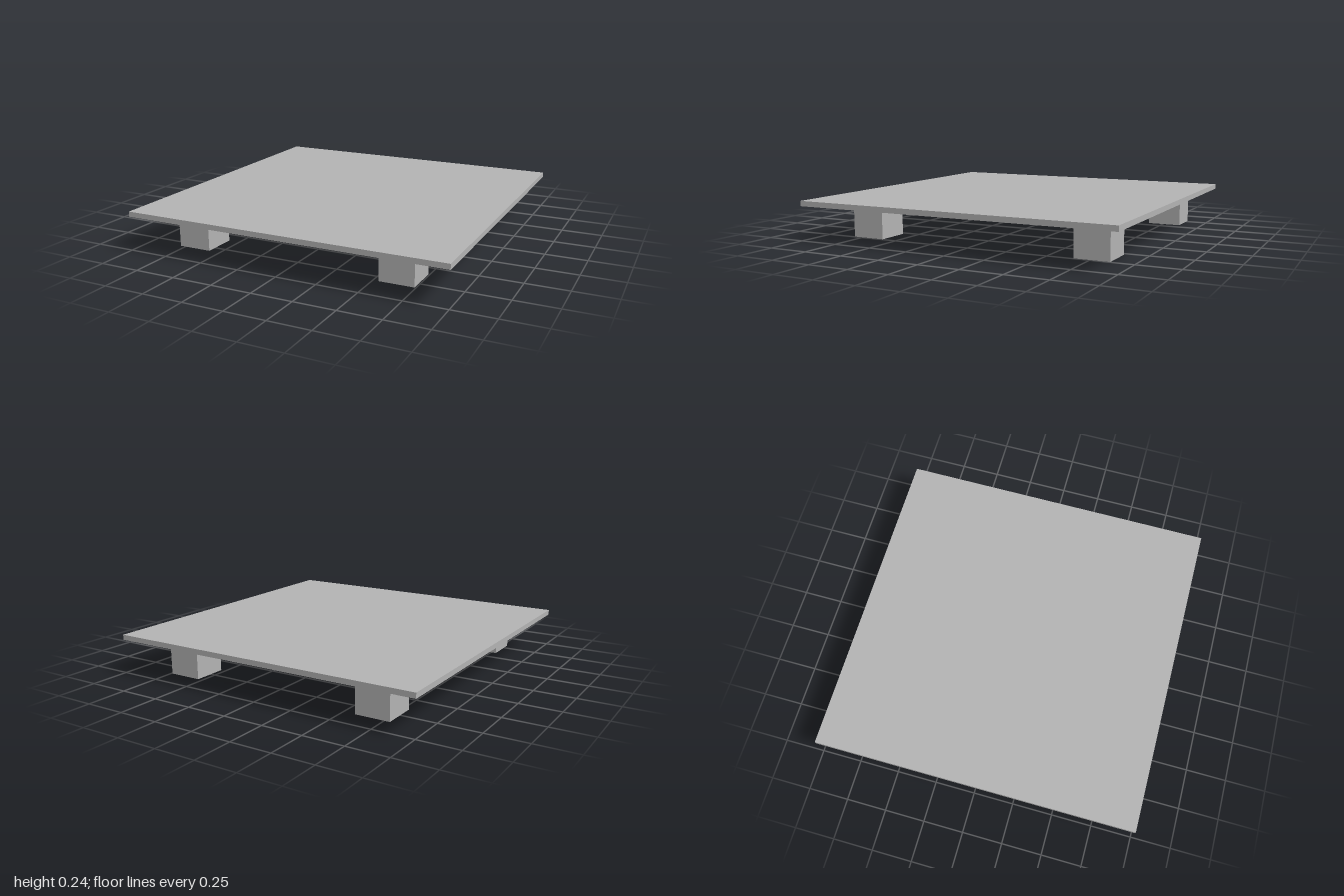
import * as THREE from 'three';

export function createModel() {
  const model = new THREE.Group();
  const grey = new THREE.MeshStandardMaterial({ color: 0xb2b2b2 });
  grey.name = 'grey';

  const addBox = (name, w, h, d, x, y, z) => {
    const mesh = new THREE.Mesh(new THREE.BoxGeometry(w, h, d), grey);
    mesh.name = name;
    mesh.position.set(x, y, z);
    model.add(mesh);
  };

  const legSize = 0.21;
  const topThickness = 0.032;

  // Thin square top
  addBox('tabletop', 2, topThickness, 2, 0, legSize + topThickness / 2, 0);

  // Four cubic legs, set slightly off centre
  for (const [side, x] of [['Left', 0.637], ['Right', -0.679]]) {
    for (const [end, z] of [['front', 0.705], ['back', -0.759]]) {
      addBox(`${end}${side}Leg`, legSize, legSize, legSize, x, legSize / 2, z);
    }
  }

  return model;
}
